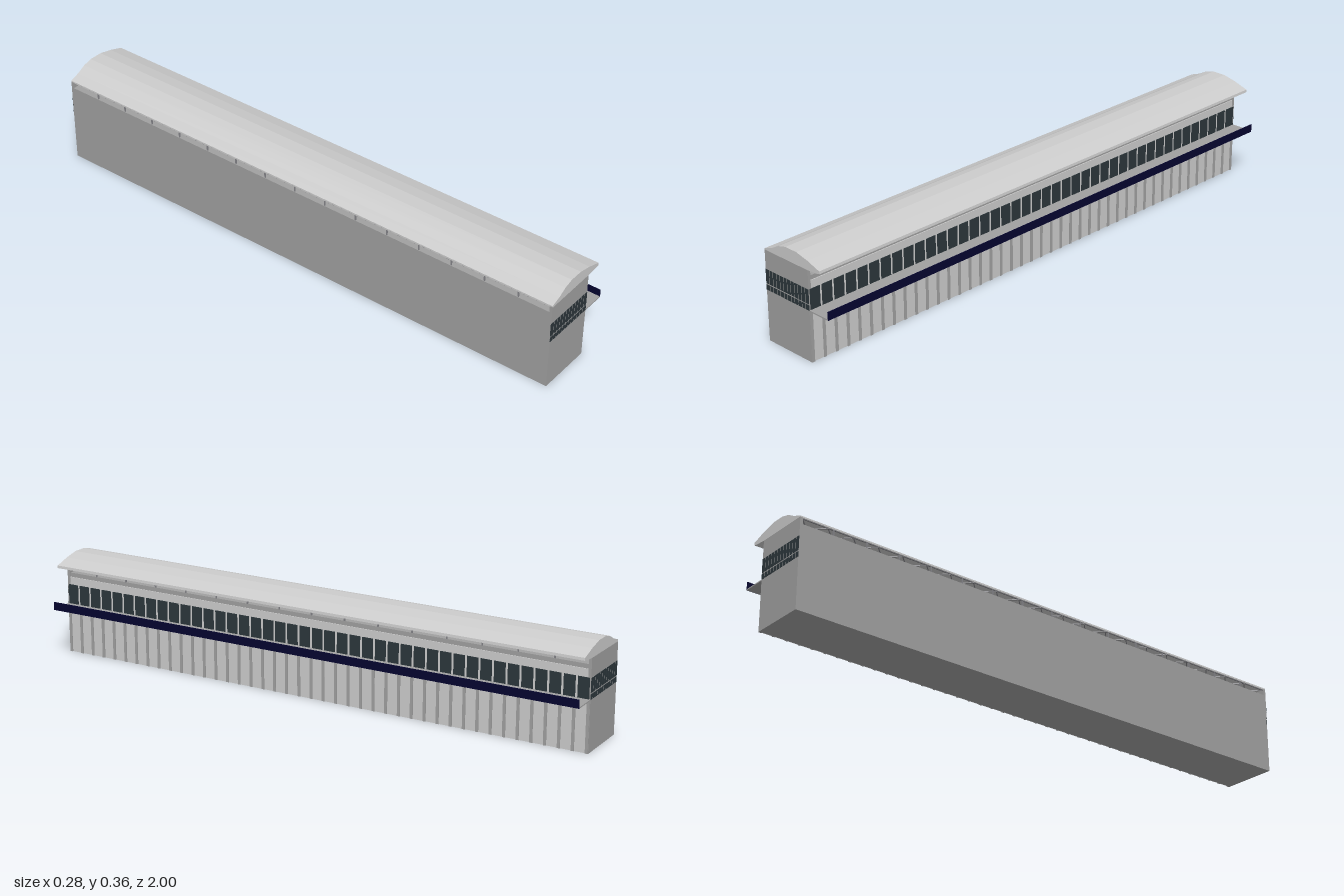
import * as THREE from 'three';

const mat = (name, color) => {
  const m = new THREE.MeshStandardMaterial({ color });
  m.name = name;
  return m;
};

export function createModel() {
  const wall = mat('wallGrey', 0xa0a0a0);
  const light = mat('lightGrey', 0xcccccc);
  const glass = mat('darkGlass', 0x2c363b);
  const navy = mat('navy', 0x04042f);
  const steel = mat('steelGrey', 0x85858a);

  const model = new THREE.Group();
  model.name = 'terminalBuilding';

  // box from its min and max corners
  const box = (parent, name, m, x0, x1, y0, y1, z0, z1) => {
    const mesh = new THREE.Mesh(new THREE.BoxGeometry(x1 - x0, y1 - y0, z1 - z0), m);
    mesh.position.set((x0 + x1) / 2, (y0 + y1) / 2, (z0 + z1) / 2);
    mesh.name = name;
    parent.add(mesh);
    return mesh;
  };
  const group = (name) => {
    const g = new THREE.Group();
    g.name = name;
    model.add(g);
    return g;
  };

  const L = -0.143, R = 0.057, TOP = 0.29, EAVE = 0.313;
  const BAYS = 42, PITCH = 2 / BAYS;

  // hall and its taller end walls
  box(model, 'hall', wall, L, R - 0.004, 0, TOP, -0.999, 0.999);
  for (const s of [-1, 1]) {
    const z = s * 0.995;
    box(model, 'endWall', wall, L, R, 0, EAVE, z - 0.005, z + 0.005);
  }

  // light cladding on the apron side, with ribs below the canopy
  const facade = group('apronFacade');
  box(facade, 'cladding', light, R - 0.004, R - 0.001, 0, 0.275, -0.99, 0.99);
  for (let i = 0; i <= BAYS; i++) {
    const z = -0.994 + i * 1.988 / BAYS;
    box(facade, 'rib', wall, R - 0.002, R + 0.002, 0, 0.175, z - 0.005, z + 0.005);
  }

  // long window band
  for (let i = 0; i < BAYS; i++) {
    const z = -1 + (i + 0.5) * PITCH;
    box(facade, 'window', glass, R - 0.002, R + 0.001, 0.178, 0.248,
      z - PITCH / 2 + 0.004, z + PITCH / 2 - 0.004);
  }

  // window bands on both ends, two rows of panes
  const ends = group('endWindows');
  const n = 12, w = (R - L) / n;
  for (const s of [-1, 1]) for (let i = 0; i < n; i++) {
    const x = L + i * w;
    for (const [y0, y1] of [[0.177, 0.195], [0.199, 0.248]]) {
      box(ends, 'pane', glass, x + (i ? 0.0015 : 0), x + w - (i < n - 1 ? 0.0015 : 0),
        y0, y1, s * 0.9998 - 0.001, s * 0.9998 + 0.001);
    }
  }

  // canopy with upright fascia
  box(model, 'canopy', wall, R - 0.002, 0.141, 0.174, 0.178, -1, 1);
  box(model, 'fascia', navy, 0.1395, 0.1415, 0.174, 0.203, -1, 1);

  // open truss between hall and roof
  const truss = group('roofTruss');
  for (const x of [L + 0.004, R - 0.004]) {
    box(truss, 'topChord', steel, x - 0.002, x + 0.002, EAVE - 0.004, EAVE, -0.99, 0.99);
    for (let i = 1; i < 16; i++) {
      const z = -1 + i / 8;
      box(truss, 'post', steel, x - 0.002, x + 0.002, TOP, EAVE, z - 0.002, z + 0.002);
    }
  }
  // zigzag rods lying flat under the roof
  const xm = (L + R) / 2;
  for (const side of [-1, 1]) for (let i = 0; i < BAYS; i++) {
    const a = xm + side * 0.097, b = xm + side * 0.05;
    const p = new THREE.Vector3(i % 2 ? b : a, 0.309, -0.99 + i * 1.98 / BAYS);
    const q = new THREE.Vector3(i % 2 ? a : b, 0.309, -0.99 + (i + 1) * 1.98 / BAYS);
    const rod = new THREE.Mesh(new THREE.BoxGeometry(0.003, 0.003, p.distanceTo(q)), steel);
    rod.name = 'rod';
    rod.position.copy(p).lerp(q, 0.5);
    rod.lookAt(q);
    truss.add(rod);
  }

  // curved roof with overhanging eave
  const profile = [
    [-0.143, 0.311], [0.057, 0.313], [0.098, 0.316], [0.112, 0.319], [0.111, 0.328],
    [0.058, 0.345], [0.008, 0.356], [-0.042, 0.356], [-0.076, 0.347], [-0.107, 0.33], [-0.143, 0.317],
  ];
  const shape = new THREE.Shape(profile.map(([x, y]) => new THREE.Vector2(x, y)));
  const roofGeo = new THREE.ExtrudeGeometry(shape, { depth: 2, bevelEnabled: false });
  roofGeo.translate(0, 0, -1);
  const roof = new THREE.Mesh(roofGeo, light);
  roof.name = 'roof';
  model.add(roof);

  return model;
}
